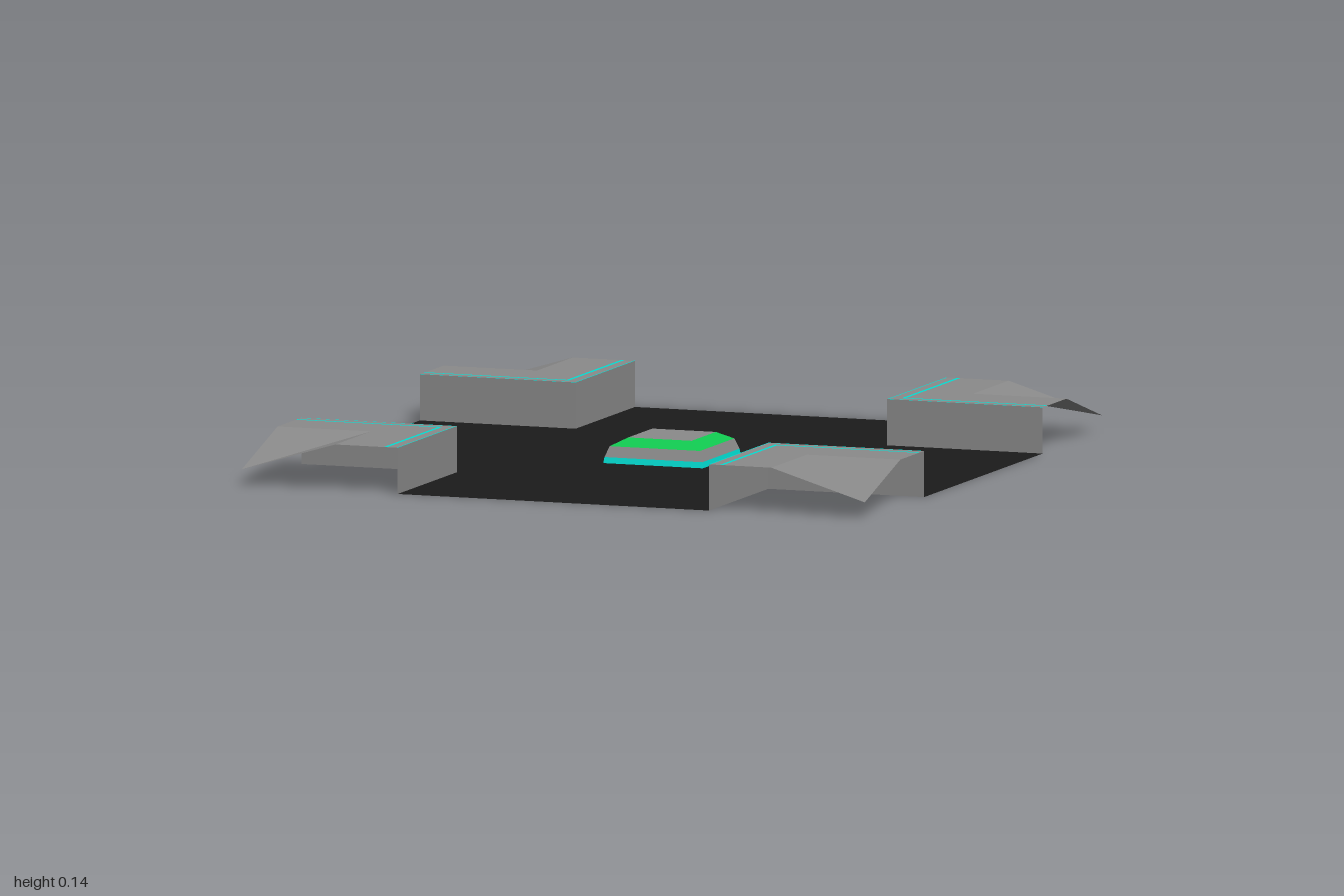
import * as THREE from 'three';

const ROAD = 0.5;   // half width of the road arms
const TOP = 0.14;   // pavement height
const PAD = 0.16;   // half width of the centre pad

const material = (color) =>
  new THREE.MeshStandardMaterial({ color, flatShading: true, side: THREE.DoubleSide });

const grey = material(0x8a8a8a);
const asphalt = material(0x1b1b1b);
const cyan = material(0x00e0d4);
const green = material(0x10c850);

function add(parent, name, geometry, mat) {
  const mesh = new THREE.Mesh(geometry, mat);
  mesh.name = name;
  parent.add(mesh);
  return mesh;
}

const points = (list) => list.map(([x, y]) => new THREE.Vector2(x, y));

// Horizontal sheet from a shape; shape y runs towards -z
function sheet(shape, y) {
  return new THREE.ShapeGeometry(shape).rotateX(-Math.PI / 2).translate(0, y, 0);
}

// L-shaped strip following the inner edges of a corner block
function band(a, b) {
  const outline = [[a, a], [1, a], [1, b], [b, b], [b, 1], [a, 1]];
  return sheet(new THREE.Shape(points(outline)), TOP);
}

// Raised corner block, open on its outer sides
function cornerBlock() {
  const block = new THREE.Group();
  block.name = 'cornerBlock';

  // Kerb walls facing the two road arms
  const length = 1 - ROAD;
  const mid = ROAD + length / 2;
  add(block, 'kerbWall', new THREE.PlaneGeometry(length, TOP)
    .translate(mid, TOP / 2, -ROAD), grey);
  add(block, 'kerbWall', new THREE.PlaneGeometry(length, TOP)
    .rotateY(-Math.PI / 2).translate(ROAD, TOP / 2, -mid), grey);

  // Pavement with its light strips
  add(block, 'kerbEdgeStrip', band(ROAD, 0.504), cyan);
  add(block, 'kerbTop', band(0.504, 0.534), grey);
  add(block, 'lightStrip', band(0.534, 0.545), cyan);
  add(block, 'pavement', band(0.545, 0.7), grey);

  // Two facets dropping to the outer corner
  const slope = new THREE.BufferGeometry();
  slope.setAttribute('position', new THREE.Float32BufferAttribute([
    0.7, TOP, -0.7, 1, TOP, -0.7, 1, 0.05, -1,
    0.7, TOP, -0.7, 1, 0.05, -1, 0.7, TOP, -1,
  ], 3));
  slope.computeVertexNormals();
  add(block, 'cornerSlope', slope, grey);
  return block;
}

// Four-sided open ring between two half widths
function ring(bottomHalf, topHalf, y0, y1) {
  return new THREE.CylinderGeometry(topHalf * Math.SQRT2, bottomHalf * Math.SQRT2,
    y1 - y0, 4, 1, true, Math.PI / 4).translate(0, (y0 + y1) / 2, 0);
}

export function createModel() {
  const model = new THREE.Group();
  model.name = 'crossroadsTile';

  // Cross-shaped road with a square opening under the pad
  const r = ROAD;
  const road = new THREE.Shape(points([
    [r, -1], [r, -r], [1, -r], [1, r], [r, r], [r, 1],
    [-r, 1], [-r, r], [-1, r], [-1, -r], [-r, -r], [-r, -1],
  ]));
  road.holes.push(new THREE.Path(points([[-PAD, -PAD], [-PAD, PAD], [PAD, PAD], [PAD, -PAD]])));
  add(model, 'road', sheet(road, 0), asphalt);

  // Four corner blocks
  for (let i = 0; i < 4; i++) {
    const block = cornerBlock();
    block.rotation.y = i * Math.PI / 2;
    model.add(block);
  }

  // Hollow stepped pad in the middle
  const pad = new THREE.Group();
  pad.name = 'centrePad';
  add(pad, 'padGlowRim', ring(PAD, 0.157, 0, 0.018), cyan);
  add(pad, 'padSide', ring(0.157, 0.145, 0.018, 0.05), grey);
  add(pad, 'padBevel', ring(0.145, 0.102, 0.05, 0.073), green);
  add(pad, 'padTop', new THREE.PlaneGeometry(0.204, 0.204)
    .rotateX(-Math.PI / 2).translate(0, 0.073, 0), grey);
  model.add(pad);

  return model;
}
